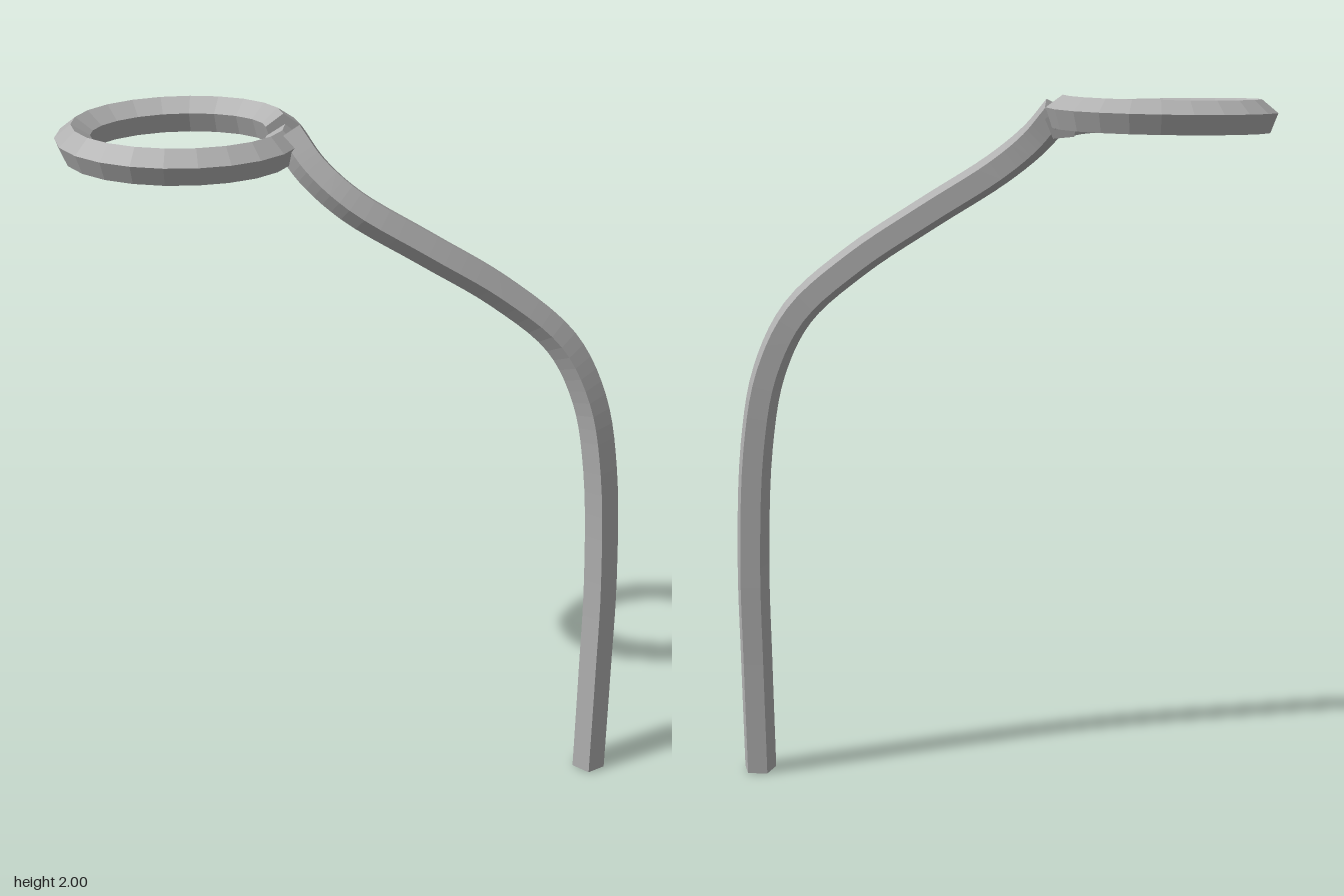
import * as THREE from 'three';

const SIDES = 5;
const RADIUS = 0.049;

// Sweeps a capped pentagon along a curve, carrying the section without twist.
function sweepPentagon(curve, segments, startNormal, startAngle) {
  const positions = [];
  const indices = [];
  const normal = startNormal.clone();
  const centre = new THREE.Vector3();
  const tangent = new THREE.Vector3();
  const side = new THREE.Vector3();
  const point = new THREE.Vector3();

  for (let i = 0; i <= segments; i++) {
    curve.getPoint(i / segments, centre);
    curve.getTangent(i / segments, tangent);
    normal.addScaledVector(tangent, -normal.dot(tangent)).normalize();
    side.crossVectors(normal, tangent);
    for (let j = 0; j < SIDES; j++) {
      const a = startAngle + (j / SIDES) * Math.PI * 2;
      point.copy(centre)
        .addScaledVector(normal, Math.cos(a) * RADIUS)
        .addScaledVector(side, Math.sin(a) * RADIUS);
      positions.push(point.x, point.y, point.z);
    }
  }
  for (let i = 0; i < segments; i++) {
    for (let j = 0; j < SIDES; j++) {
      const k = (j + 1) % SIDES;
      const a = i * SIDES + j, b = i * SIDES + k;
      indices.push(a, a + SIDES, b, b, a + SIDES, b + SIDES);
    }
  }
  // End caps
  const last = segments * SIDES;
  for (let j = 1; j < SIDES - 1; j++) {
    indices.push(0, j, j + 1, last, last + j + 1, last + j);
  }
  const indexed = new THREE.BufferGeometry();
  indexed.setAttribute('position', new THREE.Float32BufferAttribute(positions, 3));
  indexed.setIndex(indices);
  const geometry = indexed.toNonIndexed();
  geometry.computeVertexNormals();
  return geometry;
}

// Oval loop that sinks slightly from its back end to its front end
class OvalLoop extends THREE.Curve {
  getPoint(t, target = new THREE.Vector3()) {
    const a = 0.04 + t * Math.PI * 2;
    return target.set(
      -0.445 + 0.273 * Math.cos(a),
      1.951 - 0.028 * t,
      -0.182 * Math.sin(a)
    );
  }
}

export function createModel() {
  const group = new THREE.Group();
  const grey = new THREE.MeshStandardMaterial({ color: 0xb0b0b0, flatShading: true });
  grey.name = 'grey';

  const add = (name, geometry) => {
    const mesh = new THREE.Mesh(geometry, grey);
    mesh.name = name;
    group.add(mesh);
  };

  // Long stem: straight at the foot, then bending over to the loop
  const stemPath = new THREE.CatmullRomCurve3([
    [0.71, 0.005, 0.158],
    [0.712, 0.35, 0.144],
    [0.712, 0.65, 0.131],
    [0.692, 1.0, 0.117],
    [0.65, 1.22, 0.107],
    [0.565, 1.39, 0.1],
    [0.4, 1.535, 0.1],
    [0.2, 1.665, 0.107],
    [0.0, 1.79, 0.1],
    [-0.1, 1.875, 0.065],
    [-0.16, 1.952, 0.02],
  ].map((p) => new THREE.Vector3(...p)));
  add('stem', sweepPentagon(stemPath, 50, new THREE.Vector3(1, 0, 0), THREE.MathUtils.degToRad(24)));

  // Oval ring with one ridge pointing up
  add('ring', sweepPentagon(new OvalLoop(), 22, new THREE.Vector3(0, 1, 0), 0));

  return group;
}
